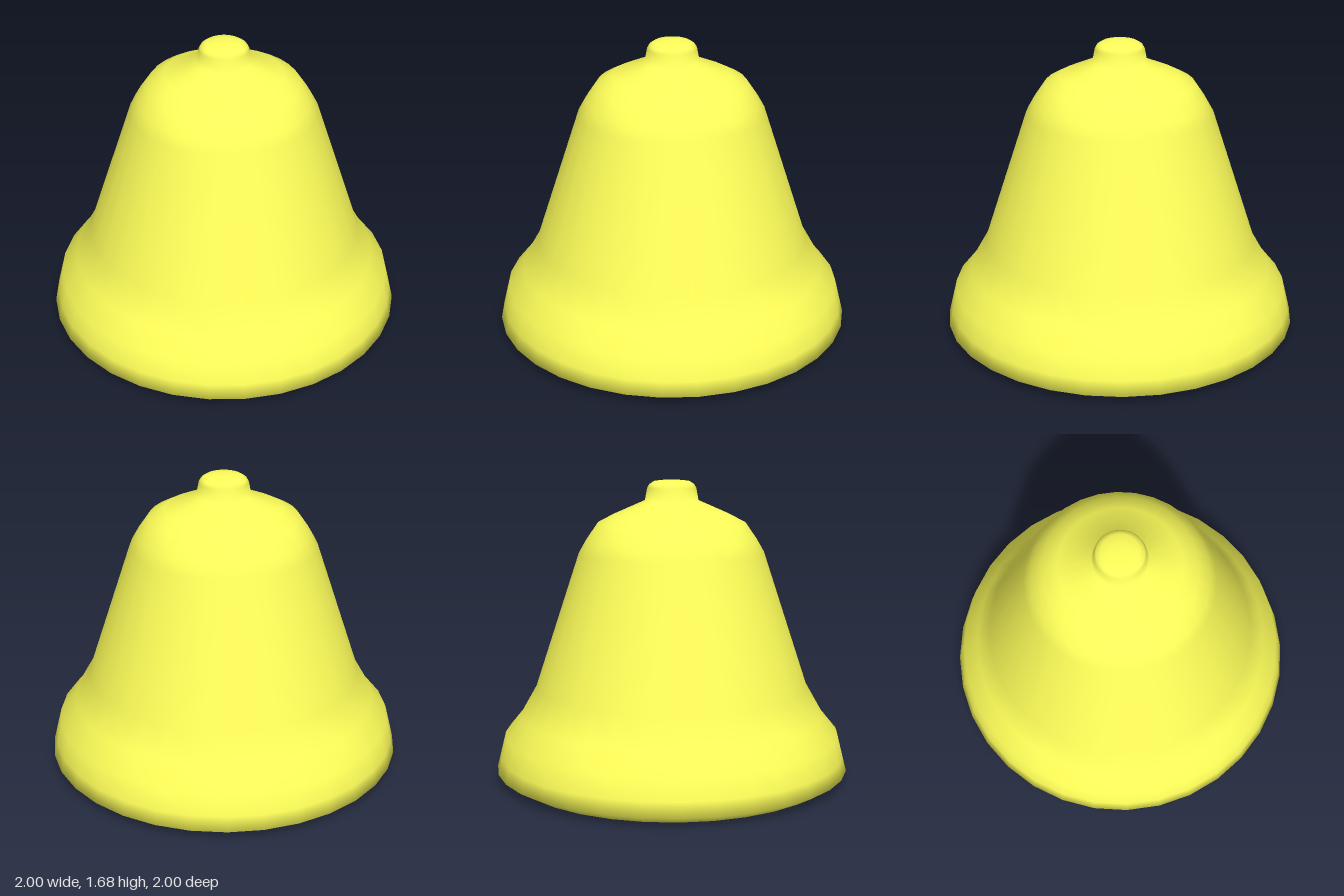
import * as THREE from 'three';

const SEGMENTS = 32;
const brass = new THREE.MeshStandardMaterial({ color: 0xffff5a });

// Smooth turned part from [radius, height] pairs, listed bottom to top on the outside
function turned(name, profile) {
  const points = profile.map(([r, y]) => new THREE.Vector2(r, y));
  const mesh = new THREE.Mesh(new THREE.LatheGeometry(points, SEGMENTS), brass);
  mesh.name = name;
  return mesh;
}

export function createModel() {
  const bell = new THREE.Group();
  bell.name = 'bell';

  // Hollow body: down the inner wall, around the lip, up the outer wall into the crown knob
  bell.add(turned('bellBody', [
    [0, 1.46], [0.15, 1.45], [0.35, 1.37], [0.44, 1.25],
    [0.84, 0.05], [0.855, 0],
    [0.91, 0], [1, 0.05], [0.98, 0.13], [0.95, 0.25], [0.86, 0.36], [0.77, 0.52],
    [0.52, 1.28], [0.48, 1.35], [0.415, 1.445], [0.33, 1.49], [0.15, 1.57],
    [0.137, 1.64], [0.125, 1.66], [0.1, 1.676], [0.05, 1.682], [0, 1.684],
  ]));

  // Clapper: rod hanging from the crown with a flat-bottomed ball
  const clapper = new THREE.Group();
  clapper.name = 'clapper';
  clapper.add(turned('clapperRod', [[0.08, 0.2], [0.08, 1.46]]));
  clapper.add(turned('clapperBall', [
    [0, 0.025], [0.105, 0.025], [0.12, 0.04], [0.137, 0.1],
    [0.137, 0.17], [0.115, 0.22], [0.07, 0.245],
  ]));
  bell.add(clapper);

  return bell;
}
